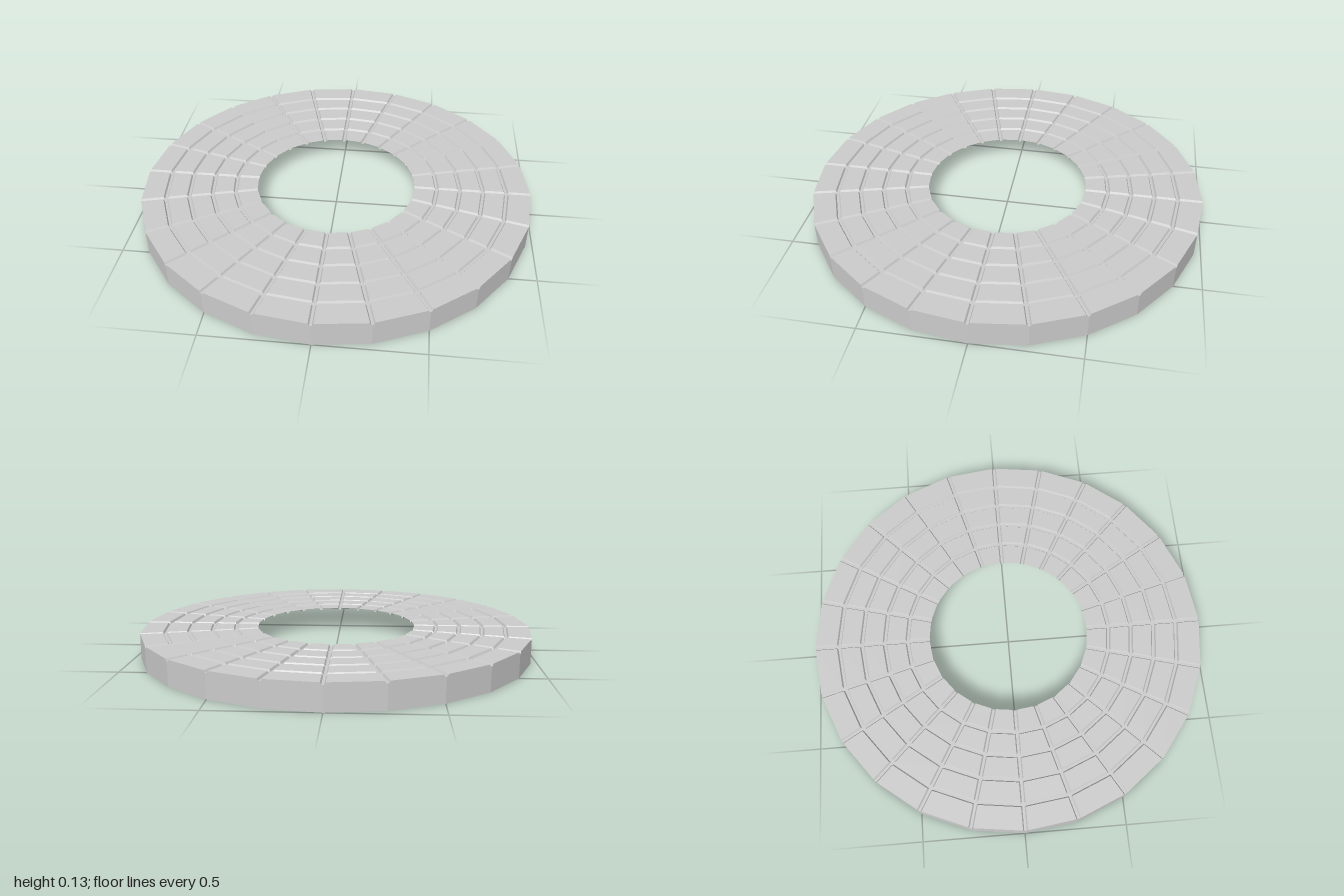
import * as THREE from 'three';

const SIDES = 24, ROWS = 5;
const INNER = 0.41, OUTER = 1, TOP = 0.127, DEPTH = 0.01;
// groove cross-section: offset from the groove centre, and whether it is at the bottom
const GROOVE = [[-0.012, 0], [-0.006, 1], [0.006, 1], [0.012, 0]];

// point on the straight edge between two neighbouring polygon corners
function ringPoint(r, side, t, y) {
  const a = (side / SIDES) * Math.PI * 2, b = ((side + 1) / SIDES) * Math.PI * 2;
  return [
    r * THREE.MathUtils.lerp(Math.cos(a), Math.cos(b), t),
    y,
    r * THREE.MathUtils.lerp(Math.sin(a), Math.sin(b), t),
  ];
}

// flat-faced surface swept around the ring through stations { r, y(low) }
function sweep(name, stations) {
  const rows = stations.map(({ r, y }) => {
    const edge = 2 * r * Math.sin(Math.PI / SIDES);
    const row = [];
    for (let s = 0; s < SIDES; s++) {
      for (const [offset, low] of GROOVE) {
        // negative offsets lie on the previous edge of the polygon
        const t = offset / edge;
        row.push(t < 0 ? ringPoint(r, s - 1, 1 + t, y(low)) : ringPoint(r, s, t, y(low)));
        // keep the polygon corner itself in the middle of the groove
        if (offset === GROOVE[1][0]) row.push(ringPoint(r, s, 0, y(1)));
      }
    }
    return row;
  });
  const pos = [];
  for (let i = 0; i < rows.length - 1; i++) {
    const n = rows[i].length;
    for (let j = 0; j < n; j++) {
      const k = (j + 1) % n;
      const a = rows[i][j], b = rows[i][k], c = rows[i + 1][k], d = rows[i + 1][j];
      pos.push(...a, ...b, ...c, ...a, ...c, ...d);
    }
  }
  const geo = new THREE.BufferGeometry();
  geo.setAttribute('position', new THREE.Float32BufferAttribute(pos, 3));
  geo.computeVertexNormals();
  const mesh = new THREE.Mesh(geo, new THREE.MeshStandardMaterial({
    color: 0xcccccc, flatShading: true, side: THREE.DoubleSide,
  }));
  mesh.name = name;
  return mesh;
}

export function createModel() {
  const group = new THREE.Group();
  group.name = 'pavedRing';

  const surface = (low) => TOP - DEPTH * low;
  const sunk = () => TOP - DEPTH;

  // paving: rows of slabs separated by ring grooves and radial grooves
  const stations = [{ r: INNER, y: surface }];
  for (let k = 1; k < ROWS; k++) {
    const centre = INNER + ((OUTER - INNER) * k) / ROWS - 0.004;
    for (const [offset, low] of GROOVE) {
      stations.push({ r: centre + offset, y: low ? sunk : surface });
    }
  }
  stations.push({ r: OUTER, y: surface });
  group.add(sweep('pavingSlabs', stations));

  // outer wall, open underneath
  group.add(sweep('outerWall', [{ r: OUTER, y: surface }, { r: OUTER, y: () => 0 }]));

  return group;
}
